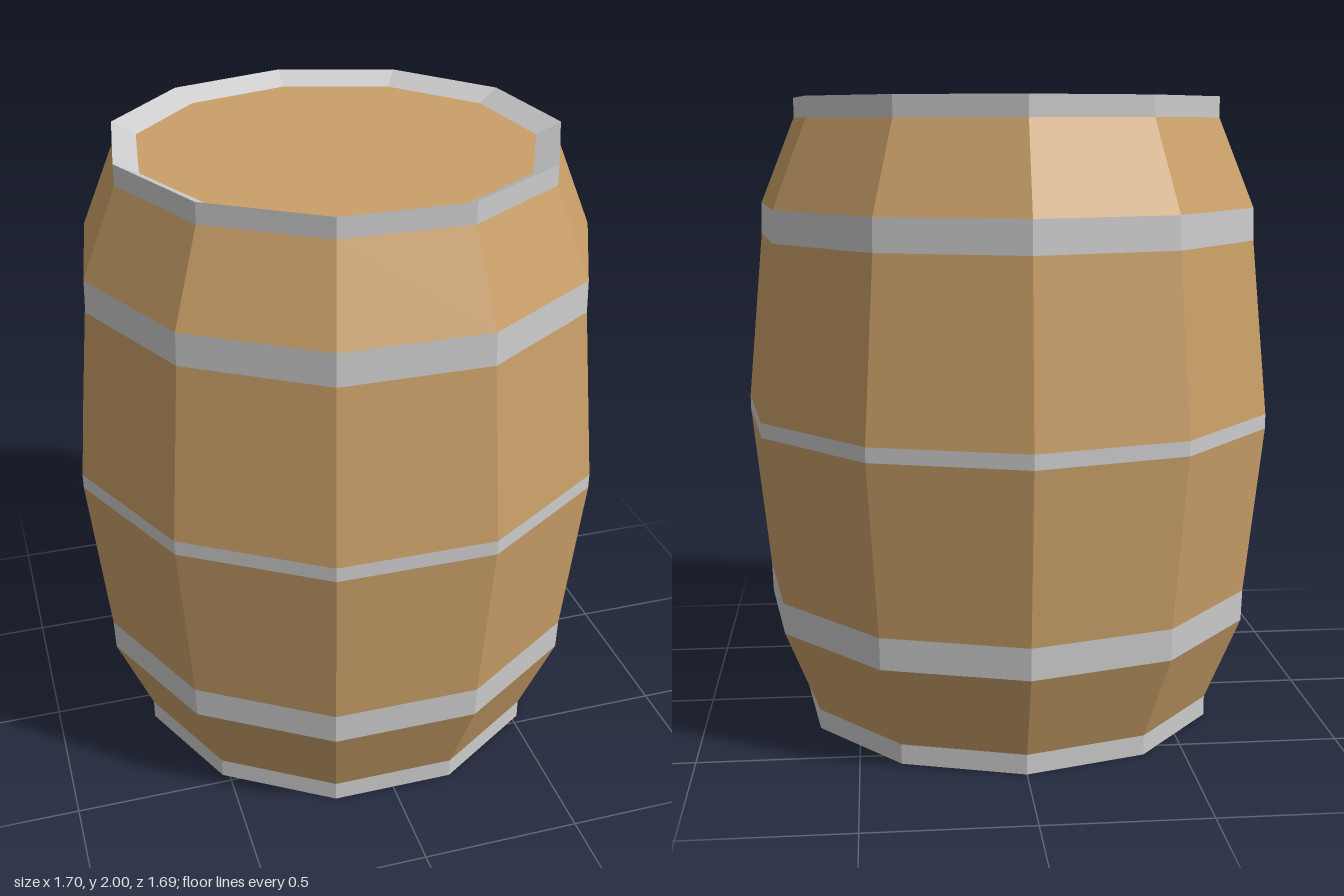
import * as THREE from 'three';

const SIDES = 11;
const wood = new THREE.MeshStandardMaterial({ color: 0xc99f68, flatShading: true });
const metal = new THREE.MeshStandardMaterial({ color: 0xcccccc, flatShading: true });

// Faceted ring (or disc) turned from a short profile of [radius, height] points
function turned(name, profile, material) {
  const points = profile.map(([r, y]) => new THREE.Vector2(r, y));
  const mesh = new THREE.Mesh(new THREE.LatheGeometry(points, SIDES, Math.PI), material);
  mesh.name = name;
  return mesh;
}

export function createModel() {
  const barrel = new THREE.Group();
  barrel.name = 'barrel';

  const rim = 0.69, hoop = 0.806, belly = 0.861, lid = 0.615;

  // Outline from bottom to top, alternating metal bands and wooden staves
  const outline = [
    [rim, 0], [rim, 0.063], [hoop - 0.003, 0.34], [hoop, 0.44], [belly, 0.977],
    [belly, 1.023], [hoop, 1.565], [hoop - 0.003, 1.665], [rim, 1.937], [rim, 2],
  ];
  const names = [
    'bottomRim', 'bottomStaves', 'lowerHoop', 'lowerStaves', 'middleHoop',
    'upperStaves', 'upperHoop', 'topStaves', 'topRim',
  ];
  names.forEach((name, i) => {
    barrel.add(turned(name, [outline[i], outline[i + 1]], i % 2 ? wood : metal));
  });

  // Bevel sloping inward to the sunken lid, and the flat base
  barrel.add(turned('rimBevel', [[rim, 2], [lid, 1.963]], metal));
  barrel.add(turned('lid', [[lid, 1.963], [0, 1.963]], wood));
  barrel.add(turned('base', [[0, 0], [rim, 0]], wood));

  // An odd number of sides is off-centre in depth
  barrel.children.forEach((part) => { part.position.z = 0.017; });
  return barrel;
}
